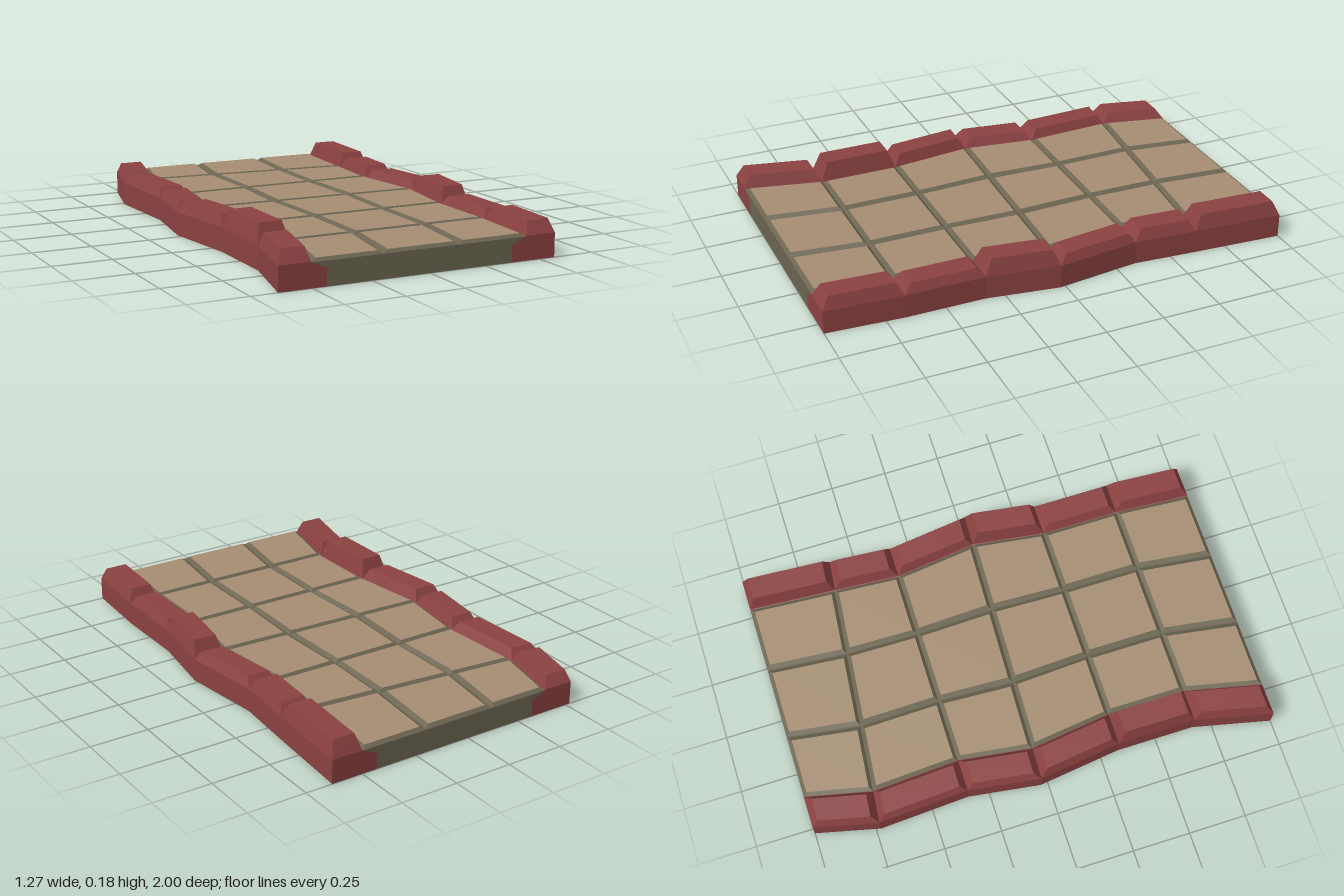
import * as THREE from 'three';
import { mergeGeometries } from 'three/addons/utils/BufferGeometryUtils.js';

// Plan of the path, one entry per cross line from back to front
const Z_RIGHT = [-1, -0.73, -0.34, -0.03, 0.33, 0.67, 1]; // at the -x edge
const Z_LEFT = [-1, -0.61, -0.34, 0.02, 0.33, 0.67, 1]; // at the +x edge
const X_RIGHT = [-0.52, -0.585, -0.565, -0.61, -0.565, -0.565, -0.64];
const X_A = [-0.11, -0.155, -0.15, -0.165, -0.15, -0.15, -0.2];
const X_B = [0.205, 0.175, 0.17, 0.18, 0.17, 0.17, 0.13];
const X_LEFT = [0.635, 0.61, 0.59, 0.635, 0.59, 0.59, 0.57];
const H_RIGHT = [0.145, 0.14, 0.14, 0.15, 0.18, 0.155]; // kerb heights
const H_LEFT = [0.165, 0.15, 0.14, 0.17, 0.14, 0.155];
const ROWS = 6, KERB = 0.135, FOOT = 0.2, FLOOR = 0.098, TILE = 0.11;

// Point on cross line i
function onLine(i, x, y) {
  const t = (x - X_RIGHT[i]) / (X_LEFT[i] - X_RIGHT[i]);
  return new THREE.Vector3(x, y, THREE.MathUtils.lerp(Z_RIGHT[i], Z_LEFT[i], t));
}

// Closed flat-shaded solid through matching rings, facing outwards
function loft(rings, capStart = true, capEnd = true) {
  const tris = [];
  const n = rings[0].length;
  for (let r = 0; r < rings.length - 1; r++) {
    for (let k = 0; k < n; k++) {
      const a = rings[r][k], b = rings[r][(k + 1) % n];
      const c = rings[r + 1][(k + 1) % n], d = rings[r + 1][k];
      tris.push([a, b, c], [a, c, d]);
    }
  }
  const cap = (ring, flip) => {
    const mid = ring.reduce((s, p) => s.add(p), new THREE.Vector3()).divideScalar(n);
    ring.forEach((p, k) => {
      const q = ring[(k + 1) % n];
      tris.push(flip ? [mid, q, p] : [mid, p, q]);
    });
  };
  cap(rings[0], true);
  cap(rings[rings.length - 1], false);
  const volume = tris.reduce((s, [a, b, c]) => s + a.dot(b.clone().cross(c)), 0);
  const keep = tris.filter((_, k) => {
    const first = tris.length - 2 * n;
    return k < first || (k < first + n ? capStart : capEnd);
  });
  const points = keep.flatMap(([a, b, c]) => (volume < 0 ? [a, c, b] : [a, b, c]));
  const geometry = new THREE.BufferGeometry().setFromPoints(points);
  geometry.computeVertexNormals();
  return geometry;
}

// Four corners of a cell between cross lines i and i + 1
const cell = (i, xa, xb, y) => [
  onLine(i, xa[i], y), onLine(i, xb[i], y), onLine(i + 1, xb[i + 1], y), onLine(i + 1, xa[i + 1], y),
];

// The same cell shrunk by distances across and along, at height y
function inset([a, b, c, d], dxa, dxb, dz, y) {
  const w = a.distanceTo(b), l = a.distanceTo(d);
  const at = (u, v) => a.clone().lerp(b, u).lerp(d.clone().lerp(c, u), v).setY(y);
  const u0 = dxa / w, u1 = 1 - dxb / w, v0 = dz / l, v1 = 1 - dz / l;
  return [at(u0, v0), at(u1, v0), at(u1, v1), at(u0, v1)];
}

export function createModel() {
  const group = new THREE.Group();
  const paint = (color) => new THREE.MeshStandardMaterial({ color, flatShading: true });
  const mortar = paint(0x6b6450), stone = paint(0xa58d72), brick = paint(0x8b4141);
  const add = (name, geometry, material) => {
    const mesh = new THREE.Mesh(geometry, material);
    mesh.name = name;
    group.add(mesh);
  };

  // Bed under the paving, its upper edges reaching out over the kerb feet
  const bed = X_LEFT.map((xl, i) => {
    const xr = X_RIGHT[i];
    return [
      [xr + FOOT, 0], [xr + FOOT, 0.07], [xr + KERB, FLOOR],
      [xl - KERB, FLOOR], [xl - FOOT, 0.07], [xl - FOOT, 0],
    ].map(([x, y]) => onLine(i, x, y));
  });
  add('bed', loft(bed), mortar);

  // Paving: bevelled mortar edges meeting in V grooves, with flat stone tops
  const columns = [X_RIGHT.map((x) => x + KERB), X_A, X_B, X_LEFT.map((x) => x - KERB)];
  const bevels = [], tops = [];
  for (let i = 0; i < ROWS; i++) {
    for (let c = 0; c < 3; c++) {
      const low = cell(i, columns[c], columns[c + 1], FLOOR - 0.002);
      const high = inset(low, 0.02, 0.02, 0.016, TILE);
      bevels.push(loft([low, high], false, false));
      tops.push(loft([high.map((p) => p.clone().setY(TILE - 0.001)), high], false, true));
    }
  }
  add('pavingBevels', mergeGeometries(bevels), mortar);
  add('pavingStones', mergeGeometries(tops), stone);

  // Kerbs: a foot set into the bed and a tapered stone on top, per row and side
  for (const side of [-1, 1]) {
    const outer = side < 0 ? X_RIGHT : X_LEFT;
    const heights = side < 0 ? H_RIGHT : H_LEFT;
    const parts = [];
    const inner = outer.map((x) => x - side * KERB);
    for (let i = 0; i < ROWS; i++) {
      const bare = side > 0 && i === 2; // this foot stands on mortar
      const base = bare ? 0.003 : 0;
      const section = (j) => [
        [0, base], [0, 0.1], [KERB, 0.1], [FOOT, 0.07], [FOOT, base],
      ].map(([d, y]) => onLine(j, outer[j] - side * d, y));
      parts.push(loft([section(i), section(i + 1)]));
      const low = cell(i, outer, inner, 0.1);
      parts.push(loft([low, inset(low, 0.018, 0.02, 0.03, heights[i])], false, true));
      if (bare) {
        const feet = outer.map((x) => x - side * FOOT);
        add('kerbMortar', loft([cell(i, outer, feet, 0), cell(i, outer, feet, base)]), mortar);
      }
    }
    add(side < 0 ? 'rightKerb' : 'leftKerb', mergeGeometries(parts), brick);
  }
  return group;
}
